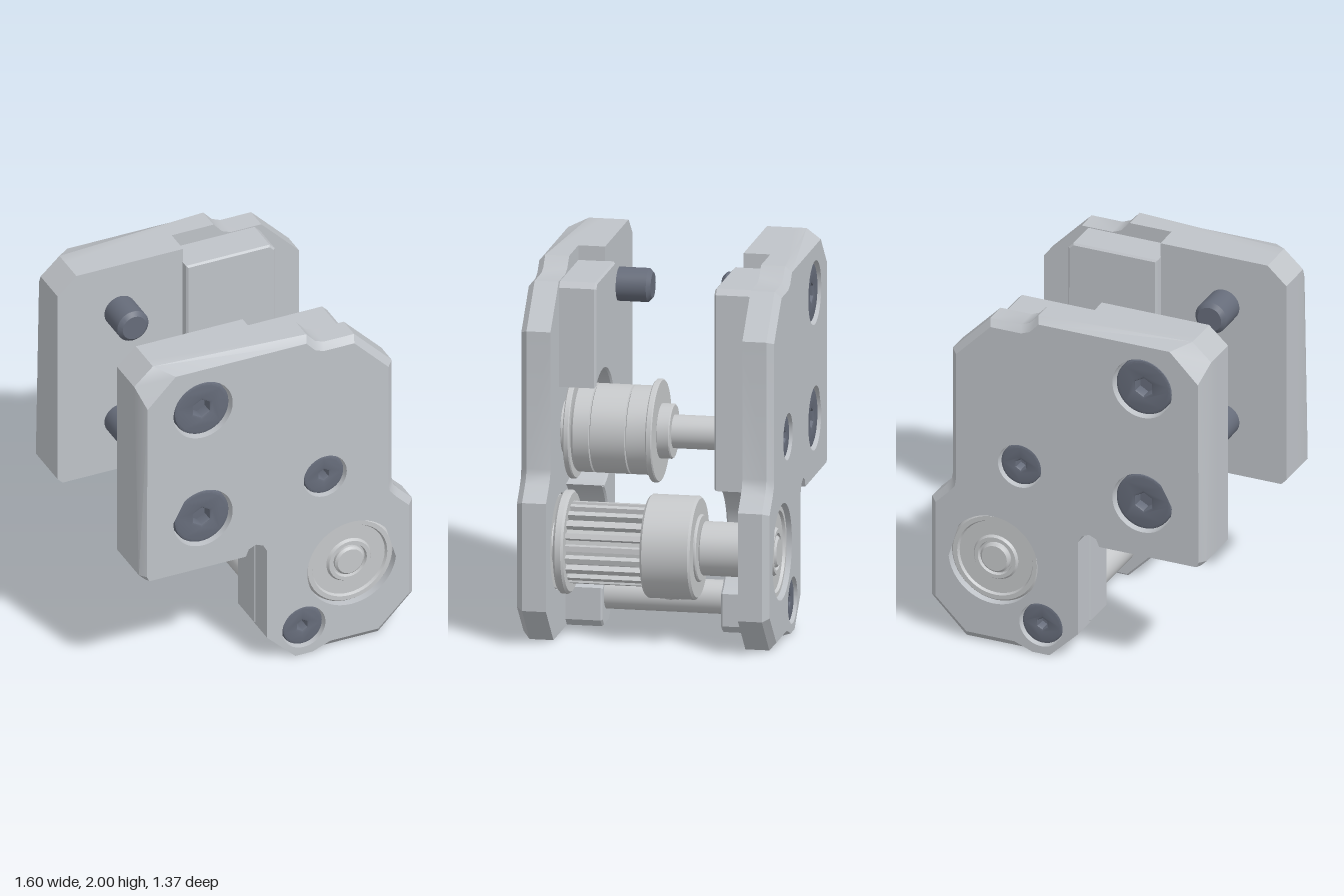
import * as THREE from 'three';
import { toCreasedNormals } from 'three/addons/utils/BufferGeometryUtils.js';

const plateGrey = new THREE.MeshStandardMaterial({ color: 0xbfc3c8 });
plateGrey.name = 'plate grey';
const steel = new THREE.MeshStandardMaterial({ color: 0xc6c8ca });
steel.name = 'steel';
const screwGrey = new THREE.MeshStandardMaterial({ color: 0x666c7a });
screwGrey.name = 'dark screw';

const IDLER = [0.275, 1.093], DRIVE = [0.43, 0.5], SPACER = [0.15, 0.17];
const TAU = Math.PI * 2, deg = Math.PI / 180;

// Notch under the thick block, shared by plate and block
const notch = [[-0.19, 0.71], [-0.172, 0.752], [-0.13, 0.77], [-0.088, 0.752], [-0.065, 0.71]];

// Plate outline: x, y, then chamfered x, y on the outer face, then chamfer start depth
const outline = [
  [-0.8, 0.74, -0.77, 0.74], [-0.77, 0.71, -0.755, 0.71], ...notch,
  [-0.065, 0.16], [0.1, 0], [0.2, 0], [0.26, 0, 0.28, 0.04],
  [0.6, 0, 0.585, 0.04], [0.8, 0.2, 0.765, 0.215], [0.8, 0.79, 0.765, 0.775],
  [0.72, 0.87, 0.69, 0.85], [0.688, 0.91, 0.653, 0.895], [0.68, 0.95, 0.645, 0.945],
  [0.68, 1.7, 0.645, 1.685], [0.46, 1.925, 0.445, 1.89], [0.28, 1.925, 0.265, 1.89],
  [0.23, 1.945, 0.215, 1.91], [0.18, 2, 0.165, 1.965],
  [-0.69, 2, -0.6, 1.965, 0.59], [-0.8, 1.9, -0.765, 1.8, 0.59],
];

const toShape = (pts) => new THREE.Shape(pts.map((p) => new THREE.Vector2(p[0], p[1])));

// Crease the normals; for the rear side also mirror in z and flip the winding
function finish(geometry, side = 1, crease = 0.5) {
  const g = geometry.index ? geometry.toNonIndexed() : geometry;
  if (side < 0) {
    const p = g.attributes.position;
    const a = new THREE.Vector3(), b = new THREE.Vector3();
    for (let i = 0; i < p.count; i++) p.setZ(i, -p.getZ(i));
    for (let i = 0; i < p.count; i += 3) {
      a.fromBufferAttribute(p, i + 1);
      b.fromBufferAttribute(p, i + 2);
      p.setXYZ(i + 1, b.x, b.y, b.z);
      p.setXYZ(i + 2, a.x, a.y, a.z);
    }
  }
  return toCreasedNormals(g, crease);
}

function add(group, name, geometry, material, side = 1) {
  const mesh = new THREE.Mesh(finish(geometry, side), material);
  mesh.name = name;
  group.add(mesh);
  return mesh;
}

// Round part along z from [radius, z] pairs with rising z
function turned([x, y], profile, segments = 48) {
  const g = new THREE.LatheGeometry(profile.map(([r, z]) => new THREE.Vector2(r, z)), segments);
  return g.rotateX(Math.PI / 2).translate(x, y, 0);
}
const rod = (at, r, z0, z1, c = 0.006) =>
  turned(at, [[0, z0], [r - c, z0], [r, z0 + c], [r, z1 - c], [r - c, z1], [0, z1]]);

// Outer plate with bores and an edge chamfer on the outer face
function plateGeometry() {
  const shape = toShape(outline);
  const bores = [[-0.44, 1.71, 0.173], [-0.44, 1.025, 0.173], [...IDLER, 0.126], [...SPACER, 0.126], [...DRIVE, 0.26]];
  for (const [x, y, r] of bores) shape.holes.push(new THREE.Path().absarc(x, y, r, 0, TAU, true));
  const g = new THREE.ExtrudeGeometry(shape, { depth: 1, steps: 2, bevelEnabled: false, curveSegments: 40 });
  const p = g.attributes.position;
  for (let i = 0; i < p.count; i++) {
    const x = p.getX(i), y = p.getY(i), z = p.getZ(i);
    const o = outline.find((q) => Math.hypot(q[0] - x, q[1] - y) < 1e-4) || [];
    if (z > 0.9) p.setXYZ(i, o[2] ?? x, o[3] ?? y, 0.685);
    else p.setZ(i, z < 0.1 ? 0.52 : o[4] ?? 0.65);
  }
  return g;
}

// Inner boss, scooped around the drive pulley and, at the front, around the idler
function bossGeometry(front) {
  const s = new THREE.Shape();
  s.moveTo(-0.07, 0.17).lineTo(0.1, 0).lineTo(0.24, 0).lineTo(0.28, 0.04);
  if (front) {
    s.absarc(...DRIVE, 0.32, 242 * deg, 121 * deg, true);
    s.absarc(0.27, 1.09, 0.315, 269 * deg, 55.2 * deg, true);
  } else {
    s.absarc(...DRIVE, 0.32, 242 * deg, 86.4 * deg, true);
  }
  s.lineTo(0.45, 1.89).lineTo(0.42, 1.92).lineTo(-0.07, 1.92).closePath();
  return new THREE.ExtrudeGeometry(s, {
    depth: 0.2, bevelThickness: 0.01, bevelSize: 0.01, bevelOffset: -0.01, bevelSegments: 1, curveSegments: 24,
  }).translate(0, 0, 0.33);
}

// Socket screw head with a hexagonal recess
function addScrewHead(group, [x, y], r, hexR, side) {
  const s = new THREE.Shape().absarc(0, 0, r - 0.015, 0, TAU, false);
  const hex = Array.from({ length: 6 }, (_, i) => {
    const a = -(i + 0.5) * TAU / 6;
    return new THREE.Vector2(Math.cos(a) * hexR, Math.sin(a) * hexR);
  });
  s.holes.push(new THREE.Path(hex));
  const head = new THREE.ExtrudeGeometry(s, {
    depth: 0.07, bevelThickness: 0.012, bevelSize: 0.015, bevelSegments: 2, curveSegments: 32,
  }).translate(x, y, 0.588);
  add(group, 'screwHead', head, screwGrey, side);
  add(group, 'screwHeadBase', rod([x, y], r, 0.515, 0.605), screwGrey, side);
}

function sideAssembly(side) {
  const g = new THREE.Group();
  g.name = side > 0 ? 'frontBracket' : 'rearBracket';
  add(g, 'plate', plateGeometry(), plateGrey, side);
  const block = toShape([[-0.8, 0.74], [-0.77, 0.71], ...notch, [-0.065, 2], [-0.69, 2], [-0.8, 1.9]]);
  add(g, 'thickBlock', new THREE.ExtrudeGeometry(block, { depth: 0.145, bevelEnabled: false }).translate(0, 0, 0.375), plateGrey, side);
  add(g, 'innerBoss', bossGeometry(side > 0), plateGrey, side);

  // Mounting screws with exposed ends, and the two smaller axle screws
  for (const y of [1.71, 1.025]) {
    addScrewHead(g, [-0.44, y], 0.16, 0.07, side);
    add(g, 'screwEnd', rod([-0.435, y], 0.091, 0.19, 0.4, 0.022), screwGrey, side);
  }
  addScrewHead(g, IDLER, 0.117, 0.048, side);
  addScrewHead(g, SPACER, 0.117, 0.048, side);

  // Ball bearing with stepped races, and the end of the shaft
  add(g, 'bearing', turned(DRIVE, [
    [0, 0.54], [0.12, 0.525], [0.13, 0.54], [0.205, 0.54], [0.215, 0.525], [0.25, 0.525], [0.257, 0.535],
    [0.257, 0.645], [0.245, 0.66], [0.22, 0.66], [0.212, 0.645], [0.13, 0.645], [0.12, 0.66], [0.1, 0.66],
    [0.095, 0.64], [0, 0.64],
  ]), steel, side);
  add(g, 'shaftEnd', rod(DRIVE, 0.085, 0.6, 0.668, 0.012), steel, side);
  return g;
}

function idlerPulley() {
  const g = new THREE.Group();
  g.name = 'idlerPulley';
  add(g, 'idlerDrum', turned(IDLER, [
    [0, 0.03], [0.235, 0.03], [0.238, 0.035], [0.238, 0.145], [0.228, 0.15], [0.238, 0.155], [0.238, 0.34],
    [0.228, 0.345], [0.238, 0.35], [0.238, 0.435], [0.225, 0.45], [0, 0.45],
  ]), steel);
  add(g, 'innerFlange', rod(IDLER, 0.276, 0, 0.035), steel);
  add(g, 'outerFlange', rod(IDLER, 0.276, 0.448, 0.482), steel);
  add(g, 'innerCollar', rod(IDLER, 0.147, -0.07, 0.005), steel);
  add(g, 'outerCollar', rod(IDLER, 0.147, 0.48, 0.525), steel);
  add(g, 'idlerAxle', rod(IDLER, 0.09, -0.34, 0), steel);
  return g;
}

function drivePulley() {
  const g = new THREE.Group();
  g.name = 'drivePulley';
  // Toothed belt section
  const teeth = 20, pts = [];
  for (let i = 0; i < teeth; i++) {
    for (const [t, r] of [[0, 0.22], [0.42, 0.22], [0.52, 0.185], [0.9, 0.185]]) {
      const a = (i + t) * TAU / teeth;
      pts.push([Math.cos(a) * r, Math.sin(a) * r]);
    }
  }
  const gear = new THREE.ExtrudeGeometry(toShape(pts), { depth: 0.43, bevelEnabled: false });
  add(g, 'teeth', gear.translate(...DRIVE, 0.025), steel);
  add(g, 'driveFlange', rod(DRIVE, 0.277, 0.45, 0.505, 0.012), steel);
  add(g, 'driveHub', rod(DRIVE, 0.277, -0.237, 0.035, 0.012), steel);
  add(g, 'hubStep', rod(DRIVE, 0.18, -0.252, -0.23), steel);
  add(g, 'rearCollar', rod(DRIVE, 0.145, -0.53, -0.26), steel);
  add(g, 'driveShaft', rod(DRIVE, 0.085, -0.6, 0.6), steel);
  // Set screws sunk in the hub, facing down and to the right side
  for (const a of [-Math.PI / 2, Math.PI]) {
    const at = (r) => [DRIVE[0] + Math.cos(a) * r, DRIVE[1] + Math.sin(a) * r, -0.1];
    const rim = new THREE.TorusGeometry(0.055, 0.01, 8, 28).rotateY(Math.PI / 2).rotateZ(a);
    add(g, 'setScrewRim', rim.translate(...at(0.268)), steel);
    const plug = new THREE.CylinderGeometry(0.035, 0.035, 0.02, 20).rotateZ(a - Math.PI / 2);
    add(g, 'setScrew', plug.translate(...at(0.268)), screwGrey);
  }
  return g;
}

export function createModel() {
  const model = new THREE.Group();
  model.name = 'beltPulleyBracket';
  model.add(sideAssembly(1), sideAssembly(-1), idlerPulley(), drivePulley());
  // Spacer tube between the lower bosses
  add(model, 'spacerTube', rod(SPACER, 0.091, -0.34, 0.34), steel);
  return model;
}
